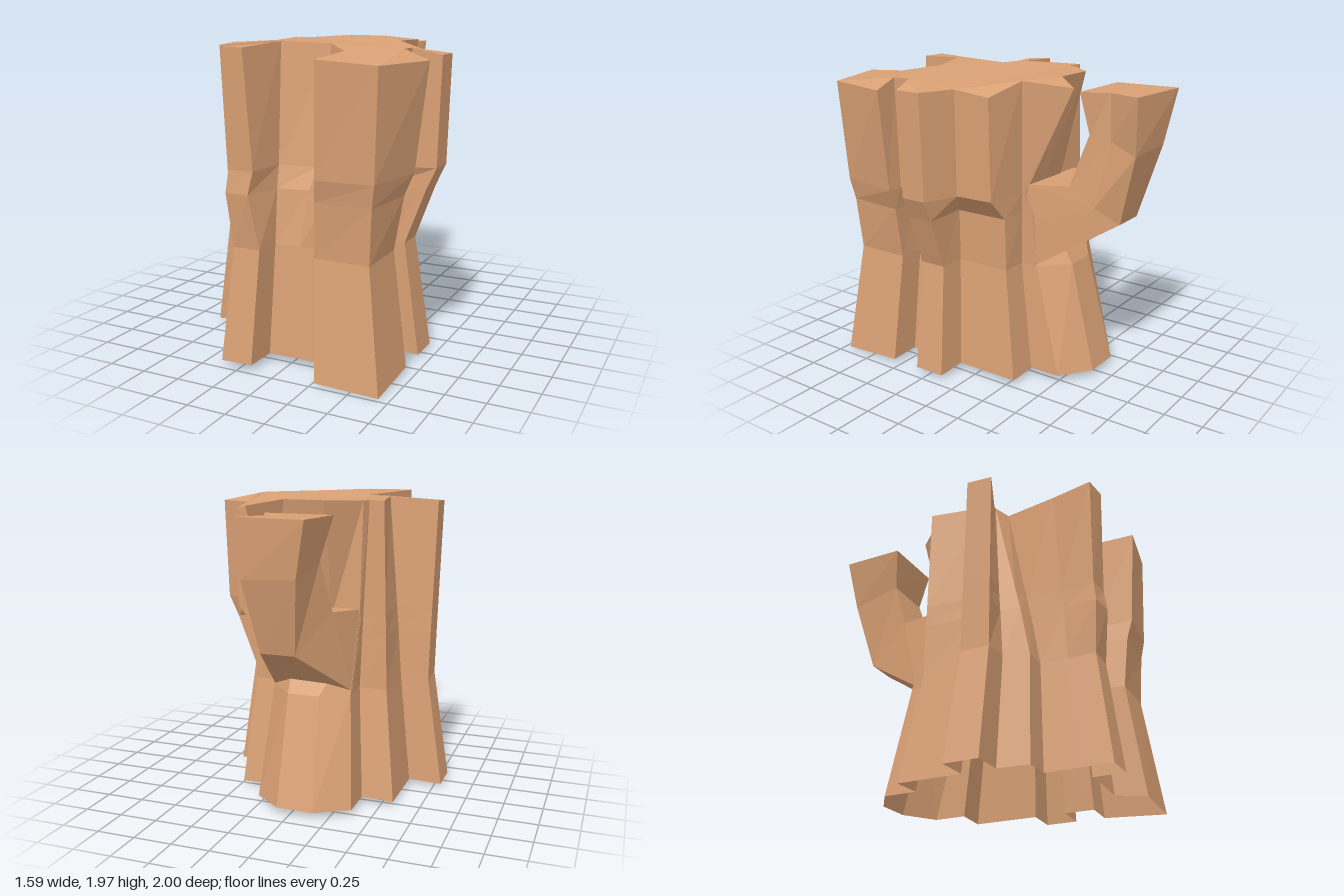
import * as THREE from 'three';

const bark = new THREE.MeshStandardMaterial({ color: 0xd9a074, flatShading: true, side: THREE.DoubleSide });
bark.name = 'bark';

// Skin a stack of rings (each a loop of [x, y, z], counter-clockwise from above)
function loft(rings) {
  const pos = [];
  const n = rings[0].length;
  for (let r = 0; r < rings.length - 1; r++) {
    for (let i = 0; i < n; i++) {
      const j = (i + 1) % n;
      const a = rings[r][i], b = rings[r][j], c = rings[r + 1][j], d = rings[r + 1][i];
      pos.push(...a, ...b, ...c, ...a, ...c, ...d);
    }
  }
  return toGeometry(pos);
}

// Close a ring with an upward face
function cap(ring) {
  const outline = ring.map(([x, , z]) => new THREE.Vector2(x, -z));
  const pos = [];
  for (const tri of THREE.ShapeUtils.triangulateShape(outline, [])) {
    for (const i of tri) pos.push(...ring[i]);
  }
  return toGeometry(pos);
}

function toGeometry(pos) {
  const g = new THREE.BufferGeometry();
  g.setAttribute('position', new THREE.Float32BufferAttribute(pos, 3));
  g.computeVertexNormals();
  return g;
}

function addMesh(group, name, geometry) {
  const m = new THREE.Mesh(geometry, bark);
  m.name = name;
  group.add(m);
}

// Ridges and hollows around the trunk. Columns: foot x, foot z, crown x, crown z, crown y, waist z.
// lower and upper: how far the two rings above the waist have moved towards the crown.
const sections = [
  { // front left ridge
    lower: 0.85, upper: 0.4,
    columns: [[-0.37, 0.97, -0.35, 0.92], [-0.16, 0.97, -0.19, 0.94]],
  },
  { // front hollow
    lower: 0.3, upper: 0.55,
    columns: [[-0.15, 0.765, -0.13, 0.6, 1.97], [0.05, 0.765, 0.16, 0.51, 1.96], [0.25, 0.765, 0.33, 0.69, 1.93]],
  },
  { // front right ridge
    lower: 0.3, upper: 0.6,
    columns: [[0.27, 0.97, 0.3, 1.0, 1.905], [0.68, 0.97, 0.66, 0.96, 1.88], [0.68, 0.55, 0.775, 0.5, 1.88]],
  },
  { // right hollow, overhanging
    lower: 0.05, upper: 0.9,
    columns: [[0.475, 0.55, 0.62, 0.5, 1.94], [0.475, 0.35, 0.62, 0.38, 1.94]],
  },
  { // right ridge
    lower: 0.6, upper: 0.9,
    columns: [[0.68, 0.35, 0.79, 0.33, 1.9], [0.68, 0.14, 0.79, 0.16, 1.9]],
  },
  { // right rear shoulder, overhanging
    lower: 0.05, upper: 0.9,
    columns: [[0.475, 0.14, 0.57, 0.07, 1.9], [0.475, -0.29, 0.555, -0.17, 1.87]],
  },
  { // back, with the root below the limb
    lower: 0.2, upper: 0.38,
    columns: [
      [0.27, -0.29, 0.295, -0.23, 1.94], [0.27, -0.5, 0.285, -0.59, 1.93, -0.3],
      [0.08, -0.65, 0.115, -0.4, 1.96, -0.47], [-0.16, -0.65, -0.15, -0.41, 1.96, -0.47],
      [-0.37, -0.51, -0.34, -0.22],
    ],
  },
  { // left side and left ridge
    lower: 0.25, upper: 0.38,
    columns: [
      [-0.37, -0.29, -0.36, -0.16], [-0.58, -0.29, -0.46, -0.18], [-0.58, 0.13, -0.39, 0.21],
      [-0.8, 0.13, -0.71, 0.22, 1.93], [-0.8, 0.35, -0.71, 0.39, 1.92], [-0.58, 0.35, -0.37, 0.25],
      [-0.56, 0.55, -0.35, 0.25], [-0.37, 0.55, -0.23, 0.29], [-0.37, 0.76, -0.29, 0.64],
    ],
  },
];

function trunkRings() {
  const { lerp } = THREE.MathUtils;
  const rings = [[], [], [], [], []];
  for (const { lower, upper, columns } of sections) {
    for (const [fx, fz, cx, cz, cy = 1.95, wz = fz * 0.85 + 0.06] of columns) {
      const wx = fx * 0.855; // narrowed waist
      const footY = 0.05 - 0.03 * Math.abs(fx) - (fz > 0.9 && fx > 0 ? 0.025 : 0);
      rings[0].push([fx, footY, fz]);
      rings[1].push([wx, 0.75, wz]);
      rings[2].push([lerp(wx, cx, lower), 1.09, Math.max(lerp(wz, cz, lower), -0.28)]);
      rings[3].push([lerp(wx, cx, upper), 1.23, Math.max(lerp(wz, cz, upper), -0.23)]);
      rings[4].push([cx, cy, cz]);
    }
  }
  return rings;
}

// Bent limb rising from the back
const limbRings = [
  [[-0.33, 1.27, -0.2], [0.24, 1.28, -0.21], [0.24, 1.03, -0.25], [0.23, 0.76, -0.3], [-0.32, 0.77, -0.35]],
  [[-0.24, 1.3, -0.5], [0.17, 1.3, -0.5], [0.14, 1.18, -0.66], [0.1, 1.09, -0.82], [-0.12, 1.09, -0.82]],
  [[-0.2, 1.63, -0.61], [0.13, 1.63, -0.61], [0.1, 1.6, -0.74], [0.16, 1.54, -0.94], [-0.18, 1.56, -0.95]],
  [[-0.27, 1.89, -0.57], [0.17, 1.89, -0.56], [0.1, 1.89, -0.73], [0.2, 1.9, -0.96], [-0.25, 1.9, -1.0]],
];

export function createModel() {
  const model = new THREE.Group();
  model.name = 'treeStump';

  const trunk = trunkRings();
  addMesh(model, 'trunkBark', loft(trunk));
  addMesh(model, 'trunkTop', cap(trunk[4]));

  addMesh(model, 'limbBark', loft(limbRings));
  addMesh(model, 'limbTop', cap(limbRings[3]));
  return model;
}
